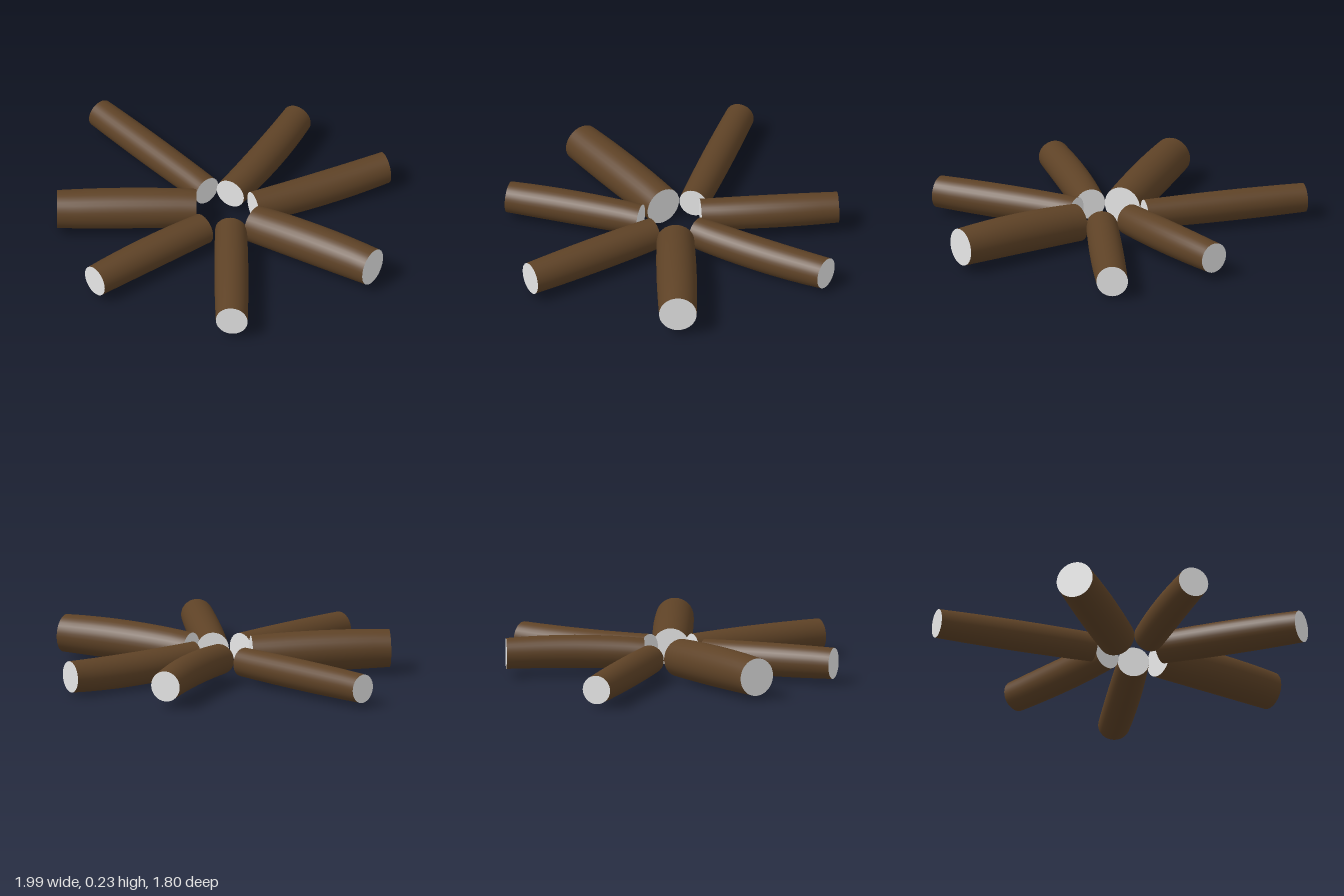
import * as THREE from 'three';

const bark = new THREE.MeshStandardMaterial({ color: 0x5e4226 });
bark.name = 'brown bark';
const cutWood = new THREE.MeshStandardMaterial({ color: 0xe7e7e7 });
cutWood.name = 'pale cut end';

// inner end, outer end, radius, cap direction in degrees (from +x towards +z), sideways bend, lift of the middle
const logs = [
  { name: 'leftLog', inner: [0.25, 0.11, -0.04], outer: [0.98, 0.133, -0.16], r: 0.099, angle: -8.5, bend: 0, lift: 0.008 },
  { name: 'backLeftLog', inner: [0.155, 0.11, -0.14], outer: [0.43, 0.1, -0.865], r: 0.083, angle: -65, bend: 0, lift: -0.012 },
  { name: 'backLog', inner: [-0.005, 0.12, -0.135], outer: [-0.17, 0.125, -0.84], r: 0.081, angle: -104, bend: 0.018, lift: 0.008 },
  { name: 'rightLog', inner: [-0.12, 0.11, -0.08], outer: [-0.985, 0.105, -0.2], r: 0.076, angle: 188, bend: 0, lift: 0 },
  { name: 'frontRightLog', inner: [-0.06, 0.115, 0.07], outer: [-0.585, 0.127, 0.58], r: 0.1, angle: 137.5, bend: 0, lift: 0.003 },
  { name: 'frontLog', inner: [0.08, 0.11, 0.17], outer: [-0.04, 0.11, 0.885], r: 0.082, angle: 98.5, bend: 0.008, lift: 0 },
  { name: 'frontLeftLog', inner: [0.2, 0.11, 0.085], outer: [0.725, 0.114, 0.66], r: 0.084, angle: 53, bend: 0, lift: 0 },
];

// A cylinder whose rings follow a slightly bent path and swell in the middle
function makeLog({ name, inner, outer, r, angle, bend, lift }) {
  const geo = new THREE.CylinderGeometry(1, 1, 1, 32, 8, false, Math.PI);
  const a = THREE.MathUtils.degToRad(angle);
  const side = new THREE.Vector3(-Math.sin(a), 0, Math.cos(a));
  const from = new THREE.Vector3(...inner), to = new THREE.Vector3(...outer);
  const pos = geo.attributes.position;
  const p = new THREE.Vector3();
  for (let i = 0; i < pos.count; i++) {
    const t = pos.getY(i) + 0.5;
    const middle = 4 * t * (1 - t);
    const radius = r * (1 + 0.07 * middle);
    p.lerpVectors(from, to, t).addScaledVector(side, pos.getX(i) * radius + bend * middle);
    p.y += pos.getZ(i) * radius + lift * middle;
    pos.setXYZ(i, p.x, p.y, p.z);
  }
  geo.computeVertexNormals();
  const mesh = new THREE.Mesh(geo, [bark, cutWood, cutWood]);
  mesh.name = name;
  return mesh;
}

export function createModel() {
  const group = new THREE.Group();
  group.name = 'ringOfLogs';
  for (const log of logs) group.add(makeLog(log));
  return group;
}
